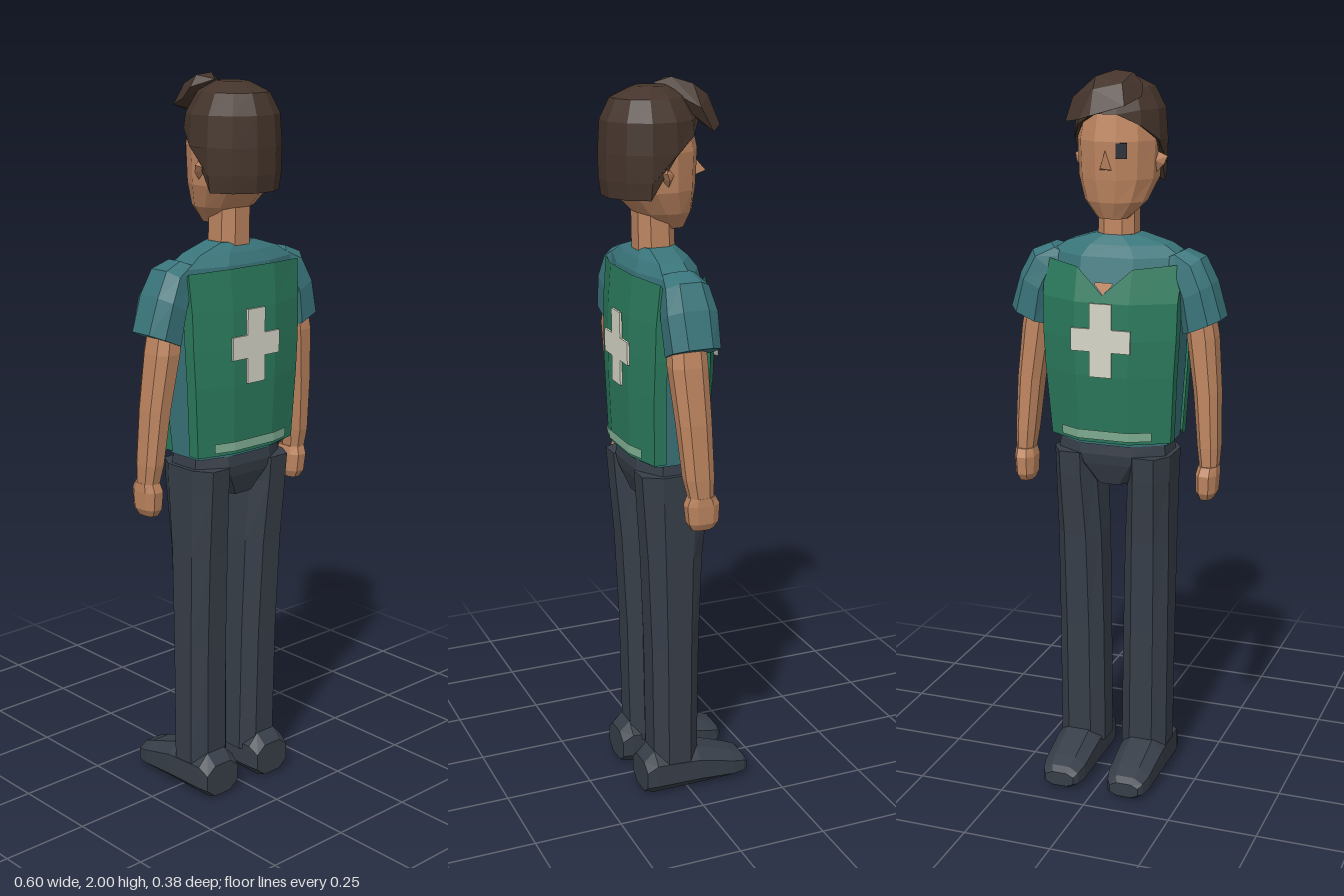
import * as THREE from 'three';
import { ConvexGeometry } from 'three/addons/geometries/ConvexGeometry.js';

const mat = (name, color, side = THREE.FrontSide) => {
  const m = new THREE.MeshStandardMaterial({ color, side });
  m.name = name;
  return m;
};

// Faceted surface through rows of points; closed rows get end caps
function skinRows(rows, closed) {
  const n = rows[0].length, pos = [];
  const tri = (...p) => p.forEach((q) => pos.push(...q));
  for (let i = 0; i + 1 < rows.length; i++) {
    for (let j = 0; j < (closed ? n : n - 1); j++) {
      const k = (j + 1) % n;
      const a = rows[i][j], b = rows[i][k], c = rows[i + 1][j], d = rows[i + 1][k];
      tri(a, c, b);
      tri(b, c, d);
    }
  }
  if (closed) {
    const mid = (r) => [0, 1, 2].map((k) => r.reduce((s, p) => s + p[k], 0) / n);
    const first = rows[0], last = rows[rows.length - 1];
    const m0 = mid(first), m1 = mid(last);
    for (let j = 0; j < n; j++) {
      const k = (j + 1) % n;
      tri(m0, first[j], first[k]);
      tri(m1, last[k], last[j]);
    }
  }
  const g = new THREE.BufferGeometry();
  g.setAttribute('position', new THREE.Float32BufferAttribute(pos, 3));
  g.computeVertexNormals();
  return g;
}

// Eight-sided section with chamfered corners
const C = 0.5;
const OCT = [[1, C], [C, 1], [-C, 1], [-1, C], [-1, -C], [-C, -1], [C, -1], [1, -C]];
// ring: [y, centre x, half width, centre z, half depth, tilt]
const limb = (rings, s = 1) => skinRows(rings.map(([y, cx, rx, cz, rz, tilt = 0]) =>
  OCT.map(([u, v]) => [s * cx + u * rx, y + tilt * s * u * rx, cz + v * rz])), true);
// ring: [z, bottom y, top y, half width], running from heel to toe
const along = (rings, cx) => skinRows(rings.map(([z, y0, y1, rx]) =>
  OCT.map(([u, v]) => [cx + u * rx, (y0 + y1) / 2 + v * (y1 - y0) / 2, z])), true);
// ring: [y, half width, centre z, half depth, optional lower limit by angle]
const round = (rings, n, floor = () => -1) => skinRows(rings.map(([y, rx, cz, rz]) =>
  Array.from({ length: n }, (_, j) => {
    const a = (j + 0.5) / n * Math.PI * 2;
    return [Math.cos(a) * rx, Math.max(y, floor(Math.sin(a))), cz + Math.sin(a) * rz];
  })), true);

// Torso profile: y, half width, chest z, back z
const TORSO = [
  [1.0, 0.16, -0.065, 0.13], [1.2, 0.172, -0.086, 0.137], [1.3, 0.178, -0.088, 0.137],
  [1.4, 0.18, -0.085, 0.135], [1.515, 0.185, -0.05, 0.125], [1.545, 0.14, -0.03, 0.11],
  [1.57, 0.06, -0.005, 0.09],
];
function torsoAt(y) {
  let i = 0;
  while (i < TORSO.length - 2 && y > TORSO[i + 1][0]) i++;
  const a = TORSO[i], b = TORSO[i + 1], t = (y - a[0]) / (b[0] - a[0]);
  return a.map((v, k) => v + (b[k] - v) * t);
}
// Sheet following the chest (side -1) or back (side 1); columns are [fraction, wrap]
function sheet(side, cols, rows, off) {
  return skinRows(rows.map((row) => cols.map(([f, wrap = 0], j) => {
    const y = Array.isArray(row) ? row[j] : row;
    const [, w, zf, zb] = torsoAt(y);
    const fall = (side < 0 ? 0.35 : 0.17) * w * Math.max(0, (Math.abs(f) - 0.4) / 0.6) + wrap;
    return [-side * f * (w + off), y, (side < 0 ? zf : zb) + side * (off - fall)];
  })), false);
}

export function createModel() {
  const root = new THREE.Group();
  root.name = 'standingFigure';
  const skin = mat('skin', 0xbd8560, THREE.DoubleSide);
  const hair = mat('brown hair', 0x44342b);
  const shirt = mat('teal shirt', 0x39747a);
  const vest = mat('green vest', 0x2b7a5d, THREE.DoubleSide);
  const white = mat('off white', 0xd6d6c8, THREE.DoubleSide);
  const trim = mat('pale green', 0x83b296, THREE.DoubleSide);
  const trousers = mat('dark slate', 0x373e48);
  const eyeColor = mat('eye', 0x2a2d36);
  const add = (name, geo, m) => {
    const mesh = new THREE.Mesh(geo, m);
    mesh.name = name;
    root.add(mesh);
    return mesh;
  };
  const hull = (pts) => new ConvexGeometry(pts.map((p) => new THREE.Vector3(...p)));

  // Trousers, shoes, arms and sleeves, mirrored
  add('pelvis', limb([
    [0.88, 0, 0.055, 0.035, 0.07], [0.94, 0, 0.13, 0.035, 0.09],
    [0.97, 0, 0.155, 0.035, 0.095], [1.01, 0, 0.15, 0.035, 0.09],
  ]), trousers);
  for (const [side, s] of [['left', 1], ['right', -1]]) {
    add(side + 'Leg', limb([
      [0.08, 0.093, 0.067, 0.033, 0.066], [0.45, 0.096, 0.066, 0.035, 0.07],
      [0.72, 0.1, 0.064, 0.037, 0.08], [0.9, 0.106, 0.06, 0.035, 0.096],
      [0.97, 0.107, 0.061, 0.036, 0.1],
    ], s), trousers);
    add(side + 'Shoe', along([
      [0.13, 0.008, 0.1, 0.058], [0.1, 0, 0.13, 0.064], [-0.03, 0, 0.12, 0.064],
      [-0.14, 0, 0.082, 0.06], [-0.175, 0.004, 0.068, 0.052], [-0.188, 0.012, 0.052, 0.042],
    ], s * 0.097), trousers);
    add(side + 'Arm', limb([
      [0.94, 0.271, 0.024, 0.024, 0.032], [1.0, 0.268, 0.029, 0.03, 0.04],
      [1.15, 0.258, 0.034, 0.04, 0.045], [1.3, 0.24, 0.039, 0.05, 0.05],
      [1.4, 0.225, 0.035, 0.05, 0.045],
    ], s), skin);
    add(side + 'Hand', limb([
      [0.855, 0.266, 0.018, 0.018, 0.03], [0.875, 0.267, 0.027, 0.018, 0.042],
      [0.925, 0.268, 0.029, 0.02, 0.046], [0.948, 0.27, 0.026, 0.022, 0.036],
    ], s), skin);
    add(side + 'Sleeve', limb([
      [1.333, 0.248, 0.053, 0.038, 0.067, 0.43], [1.425, 0.228, 0.045, 0.04, 0.07, 0.55],
      [1.485, 0.2, 0.04, 0.042, 0.06, 0.75], [1.515, 0.15, 0.04, 0.045, 0.045, 0.5],
    ], s), shirt);
    add(side + 'Ear', hull([
      [s * 0.105, 1.79, 0.05], [s * 0.105, 1.735, 0.045], [s * 0.105, 1.765, 0.075],
      [s * 0.131, 1.775, 0.06], [s * 0.124, 1.755, 0.05], [s * 0.105, 1.765, 0.03],
    ]), skin);
  }

  // Shirt
  add('shirt', skinRows(TORSO.map(([y, w, zf, zb]) => {
    const b = zb - 0.17 * w, f = zf + 0.35 * w;
    return [[w, b], [0.4 * w, zb], [-0.4 * w, zb], [-w, b], [-w, f], [-0.4 * w, zf], [0.4 * w, zf], [w, f]]
      .map(([x, z]) => [x, y, z]);
  }), true), shirt);

  // Vest panels with a V neck, hem stripes and crosses
  const cols = [[-1, 0.035], [-1], [-0.4], [0], [0.4], [1], [1, 0.035]];
  const low = [1.01, 1.2, 1.3, 1.4];
  add('vestFront', sheet(-1, cols, [...low, [1.46, 1.5, 1.49, 1.42, 1.49, 1.5, 1.46]], 0.012), vest);
  add('vestBack', sheet(1, cols, [...low, [1.46, 1.505, 1.51, 1.51, 1.51, 1.505, 1.46]], 0.012), vest);
  add('neckOpening', sheet(-1, [[-0.13], [0], [0.13]], [[1.445, 1.42, 1.445], 1.452], 0.009), skin);
  const cross = new THREE.Shape();
  const a = 0.031, h = 0.1, w = 0.084;
  [[a, h], [a, a], [w, a], [w, -a], [a, -a], [a, -h], [-a, -h], [-a, -a], [-w, -a], [-w, a], [-a, a], [-a, h]]
    .forEach(([x, y], i) => (i ? cross.lineTo(x, y) : cross.moveTo(x, y)));
  const crossGeo = new THREE.ExtrudeGeometry(cross, { depth: 0.006, bevelEnabled: false });
  add('crossFront', crossGeo, white).position.set(0, 1.3, -0.107);
  add('crossBack', crossGeo, white).position.set(0, 1.3, 0.149);
  for (const [name, side] of [['hemStripeFront', -1], ['hemStripeBack', 1]]) {
    add(name, sheet(side, [[-0.72], [-0.4], [0.4], [0.72]], [1.02, 1.046], 0.018), trim);
  }

  // Neck and head, face towards -z
  add('neck', limb([[1.53, 0, 0.052, 0.045, 0.052], [1.7, 0, 0.05, 0.05, 0.05]]), skin);
  add('head', round([
    [1.615, 0.042, -0.003, 0.035], [1.66, 0.085, 0.022, 0.08], [1.72, 0.108, 0.048, 0.114],
    [1.82, 0.113, 0.053, 0.124], [1.9, 0.1, 0.058, 0.112],
  ], 12), skin);
  add('nose', hull([
    [0, 1.8, -0.064], [0.02, 1.745, -0.055], [-0.02, 1.745, -0.055], [0, 1.755, -0.105], [0, 1.77, -0.03],
  ]), skin);
  const eye = add('eye', new THREE.BoxGeometry(0.03, 0.04, 0.008), eyeColor);
  eye.position.set(-0.043, 1.797, -0.06);
  eye.rotation.y = 0.3;

  // Hair cap: low at the nape, rising to the forehead
  const hairline = (b) => (b > 0.2 ? 1.705 : b > -0.4 ? 1.79 - b * 0.1 : b > -0.8 ? 1.86 : 1.89);
  add('hairCap', round([
    [1.7, 0.117, 0.065, 0.12], [1.75, 0.123, 0.061, 0.13], [1.82, 0.125, 0.06, 0.132],
    [1.9, 0.119, 0.06, 0.127], [1.955, 0.09, 0.062, 0.098], [1.982, 0.04, 0.055, 0.045],
  ], 12, hairline), hair);
  add('quiff', hull([
    [-0.035, 1.985, 0.03], [-0.085, 1.965, -0.01], [-0.09, 1.935, -0.035], [-0.065, 1.915, -0.1],
    [0.02, 1.89, -0.125], [0.05, 1.88, -0.122], [0.105, 1.87, -0.08], [0.095, 1.93, -0.05],
    [-0.06, 1.995, -0.015], [-0.01, 2.0, -0.01], [0.03, 1.985, -0.055], [0.02, 1.955, -0.1],
    [-0.05, 1.97, -0.075],
  ]), hair);
  return root;
}
